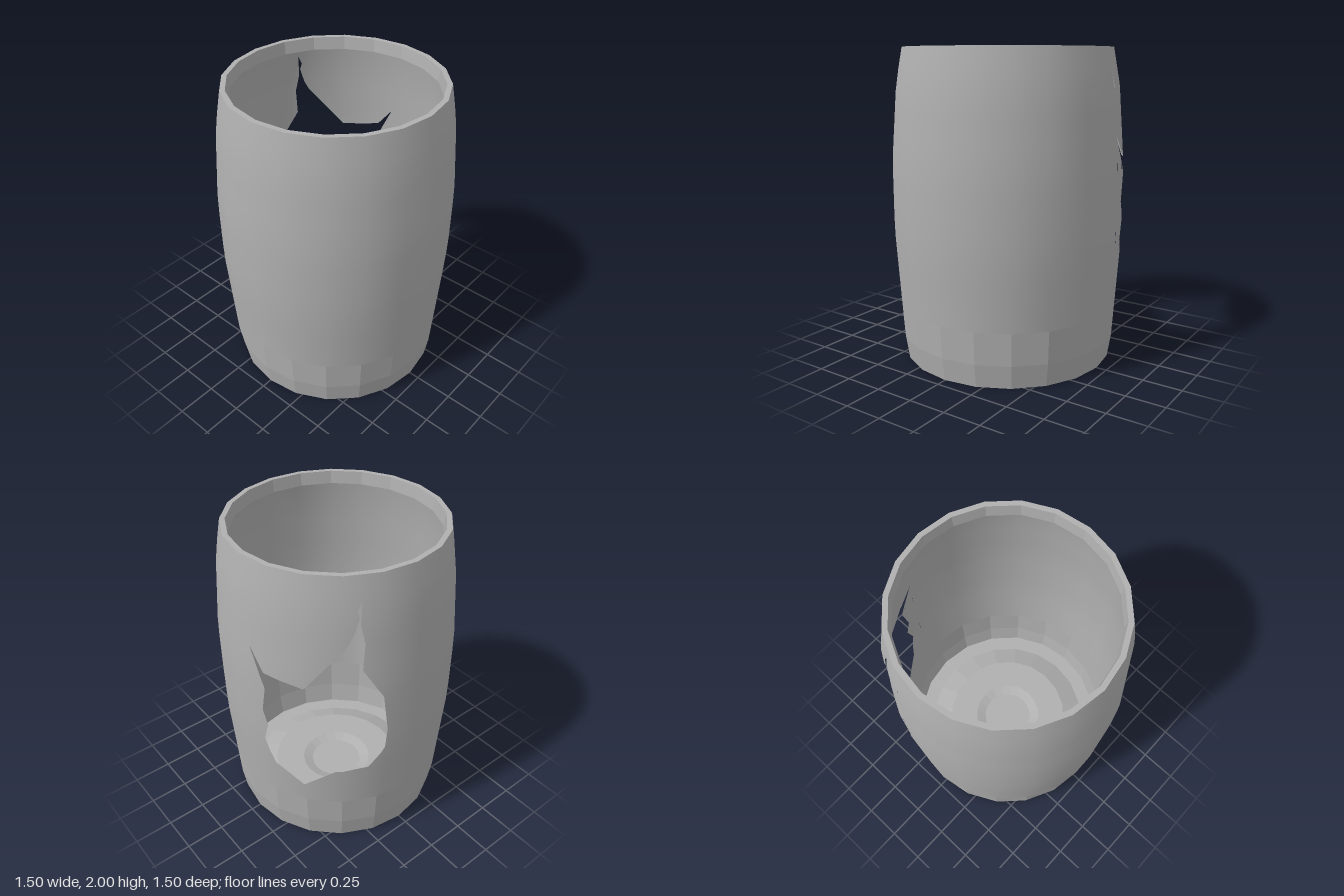
import * as THREE from 'three';

const SIDES = 20;
const STEP = (Math.PI * 2) / SIDES;
const RAD = Math.PI / 180;

// Wall outline as [radius, height]
const WALL = [[0.72, 0.36], [0.751, 0.82], [0.751, 1.28], [0.714, 1.77], [0.672, 2]];

// Outline of the torn opening as [degrees from +x towards -z, height]
const TEAR = [
  [9, 1.47], [17.2, 1.34], [25, 1.32], [37, 1.305], [56, 1.6], [58.5, 1.66],
  [61, 1.76], [60, 1.8], [62.3, 1.86], [61.5, 1.72], [63.5, 1.6], [62.5, 1.43],
  [72, 1.23], [75, 0.96], [74, 0.82], [66.5, 0.67], [51, 0.655], [35, 0.505],
  [20.5, 0.63], [15.5, 0.82], [18.3, 0.95], [15.5, 1.05], [18, 1.23],
].map(([a, y]) => [a * RAD, y]);

// Radius of the wall at a height
function radiusAt(y) {
  let i = 0;
  while (i < WALL.length - 2 && y > WALL[i + 1][1]) i++;
  const [r0, y0] = WALL[i], [r1, y1] = WALL[i + 1];
  return r0 + ((r1 - r0) * (y - y0)) / (y1 - y0);
}

// Point on the faceted wall
function wallPoint(angle, y) {
  const r = radiusAt(y);
  const k = Math.floor(angle / STEP + 1e-6), t = angle / STEP - k;
  const a = k * STEP, b = a + STEP;
  return [
    r * (Math.cos(a) * (1 - t) + Math.cos(b) * t), y,
    -r * (Math.sin(a) * (1 - t) + Math.sin(b) * t),
  ];
}

// Smooth outward normal of the wall
function wallNormal(angle, y) {
  const lo = Math.max(0.36, y - 0.15), hi = Math.min(2, y + 0.15);
  const slope = (radiusAt(hi) - radiusAt(lo)) / (hi - lo);
  return new THREE.Vector3(Math.cos(angle), -slope, -Math.sin(angle)).normalize().toArray();
}

// Wall built in upright strips, leaving out the torn opening
function tornWall() {
  const positions = [], normals = [];
  const put = (a, y) => {
    positions.push(...wallPoint(a, y));
    normals.push(...wallNormal(a, y));
  };
  const cuts = [...Array.from({ length: SIDES + 1 }, (_, i) => i * STEP), ...TEAR.map((p) => p[0])]
    .sort((a, b) => a - b)
    .filter((a, i, all) => i === 0 || a - all[i - 1] > 1e-6);

  for (let i = 0; i < cuts.length - 1; i++) {
    const a = cuts[i], b = cuts[i + 1], mid = (a + b) / 2;
    // edges of the opening that cross this strip, from low to high
    const edges = [];
    TEAR.forEach((p, j) => {
      const q = TEAR[(j + 1) % TEAR.length];
      if ((p[0] - mid) * (q[0] - mid) >= 0) return;
      const at = (x) => p[1] + ((q[1] - p[1]) * (x - p[0])) / (q[0] - p[0]);
      edges.push([at(a), at(b), at(mid)]);
    });
    edges.sort((p, q) => p[2] - q[2]);
    const bounds = [[0.36, 0.36], ...edges, [2, 2]];
    const rows = 12;
    for (let k = 0; k < bounds.length; k += 2) {
      const low = bounds[k], high = bounds[k + 1];
      const h = (side, n) => low[side] + ((high[side] - low[side]) * n) / rows;
      for (let n = 0; n < rows; n++) {
        put(a, h(0, n)); put(b, h(1, n)); put(b, h(1, n + 1));
        put(a, h(0, n)); put(b, h(1, n + 1)); put(a, h(0, n + 1));
      }
    }
  }
  const geometry = new THREE.BufferGeometry();
  geometry.setAttribute('position', new THREE.Float32BufferAttribute(positions, 3));
  geometry.setAttribute('normal', new THREE.Float32BufferAttribute(normals, 3));
  return geometry;
}

// Flat-faceted turned part
function faceted(profile) {
  const points = profile.map(([r, y]) => new THREE.Vector2(r, y));
  const geometry = new THREE.LatheGeometry(points, SIDES).toNonIndexed();
  geometry.computeVertexNormals();
  return geometry;
}

export function createModel() {
  const group = new THREE.Group();
  group.name = 'brokenBarrel';
  const grey = new THREE.MeshStandardMaterial({ color: 0xb0b0b0, side: THREE.DoubleSide });
  grey.name = 'grey';

  const add = (name, geometry) => {
    const mesh = new THREE.Mesh(geometry, grey);
    mesh.name = name;
    group.add(mesh);
  };

  add('wall', tornWall());
  // Faceted foot of the wall
  add('lowerWall', faceted([[0.682, 0], [0.706, 0.15], [0.72, 0.36]]));
  // Raised floor with a dished centre
  add('floor', faceted([[0, 0.03], [0.175, 0.03], [0.24, 0.055], [0.44, 0.055], [0.58, 0], [0.682, 0]]));
  // Rim folded over to the inside
  add('rim', faceted([[0.672, 2], [0.64, 2], [0.63, 1.92]]));
  return group;
}
